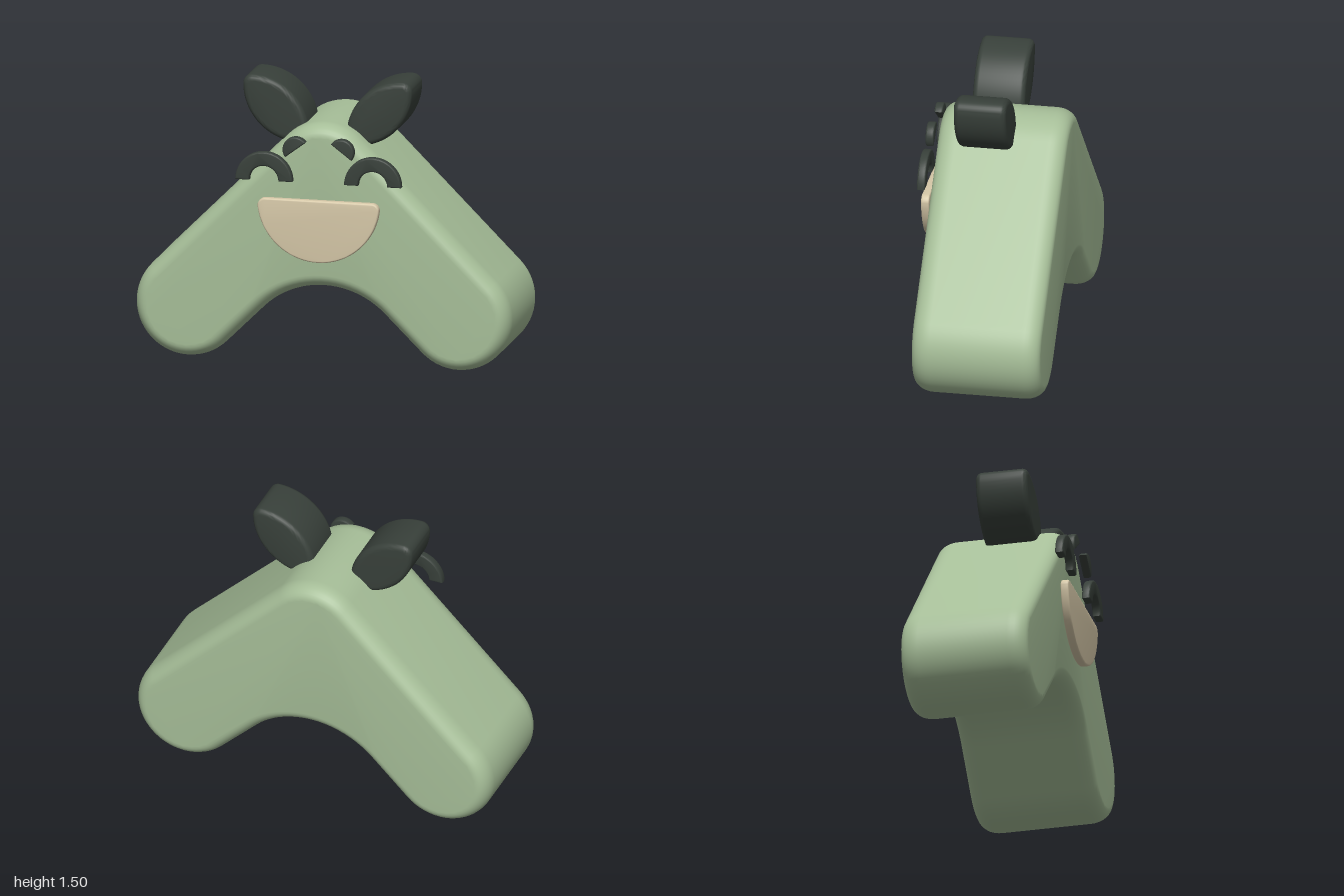
import * as THREE from 'three';
import { toCreasedNormals } from 'three/addons/utils/BufferGeometryUtils.js';

// Points along an arc, angles in degrees
function arc(cx, cy, r, from, to, n) {
  return Array.from({ length: n + 1 }, (_, i) => {
    const a = THREE.MathUtils.degToRad(from + (to - from) * i / n);
    return new THREE.Vector2(cx + r * Math.cos(a), cy + r * Math.sin(a));
  });
}

// Extruded slab with rounded edges, kept inside the given outline and z range
function slab(name, points, z0, z1, size, thickness, material, segments = 6) {
  let outline = points.filter((p, i) => p.distanceTo(points[(i + 1) % points.length]) > 1e-4);
  if (THREE.ShapeUtils.isClockWise(outline)) outline = outline.reverse();
  const geometry = new THREE.ExtrudeGeometry(new THREE.Shape(outline), {
    depth: z1 - z0 - 2 * thickness,
    bevelEnabled: true,
    bevelSize: size,
    bevelOffset: -size,
    bevelThickness: thickness,
    bevelSegments: segments,
  });
  geometry.translate(0, 0, z0 + thickness);
  const mesh = new THREE.Mesh(toCreasedNormals(geometry, 0.7), material);
  mesh.name = name;
  return mesh;
}

const mirror = (points, s) => points.map((p) => new THREE.Vector2(p.x * s, p.y));

export function createModel() {
  const sage = new THREE.MeshStandardMaterial({ color: 0xa6be98 });
  const charcoal = new THREE.MeshStandardMaterial({ color: 0x38403a });
  const cream = new THREE.MeshStandardMaterial({ color: 0xd6c8a8 });
  sage.name = 'sage';
  charcoal.name = 'charcoal';
  cream.name = 'cream';

  const group = new THREE.Group();
  group.name = 'boomerangCreature';

  // Body: two rounded legs meeting at the head, arched underneath
  group.add(slab('body', [
    ...arc(0.72, 0.283, 0.28, -135, 45, 28),
    ...arc(0, 1.005, 0.28, 45, 135, 16),
    ...arc(-0.72, 0.283, 0.28, 135, 315, 28),
    ...arc(0, -0.045, 0.46, 135, 45, 20),
  ], -0.37, 0.307, 0.07, 0.1, sage, 8));

  // Mouth: half disc with softened upper corners
  group.add(slab('mouth', [
    ...arc(0, 0.89, 0.325, 187, 353, 36),
    ...arc(0.285, 0.857, 0.038, 0, 90, 6),
    ...arc(-0.285, 0.857, 0.038, 90, 180, 6),
  ], 0.327, 0.37, 0.008, 0.008, cream, 3));

  for (const [side, s] of [['left', 1], ['right', -1]]) {
    // Leaf-shaped ear
    const ear = [
      ...arc(0.4, 1.45, 0.05, 0, 90, 8),
      ...arc(0.4, 1.2, 0.3, 90, 180, 20),
      ...arc(0.15, 1.2, 0.05, 180, 270, 8),
      ...arc(0.15, 1.45, 0.3, 270, 360, 20),
    ];
    group.add(slab(side + 'Ear', mirror(ear, s), -0.097, 0.178, 0.03, 0.03, charcoal));

    // Smiling eye arch
    const eye = [
      ...arc(0.29, 0.988, 0.152, 0, 180, 28),
      ...arc(0.29, 0.988, 0.078, 180, 0, 20),
    ];
    group.add(slab(side + 'Eye', mirror(eye, s), 0.327, 0.37, 0.008, 0.008, charcoal, 3));

    // Tilted half-disc brow
    const brow = arc(0.122, 1.16, 0.068, -37, 143, 20);
    group.add(slab(side + 'Brow', mirror(brow, s), 0.327, 0.37, 0.008, 0.008, charcoal, 3));
  }
  return group;
}
